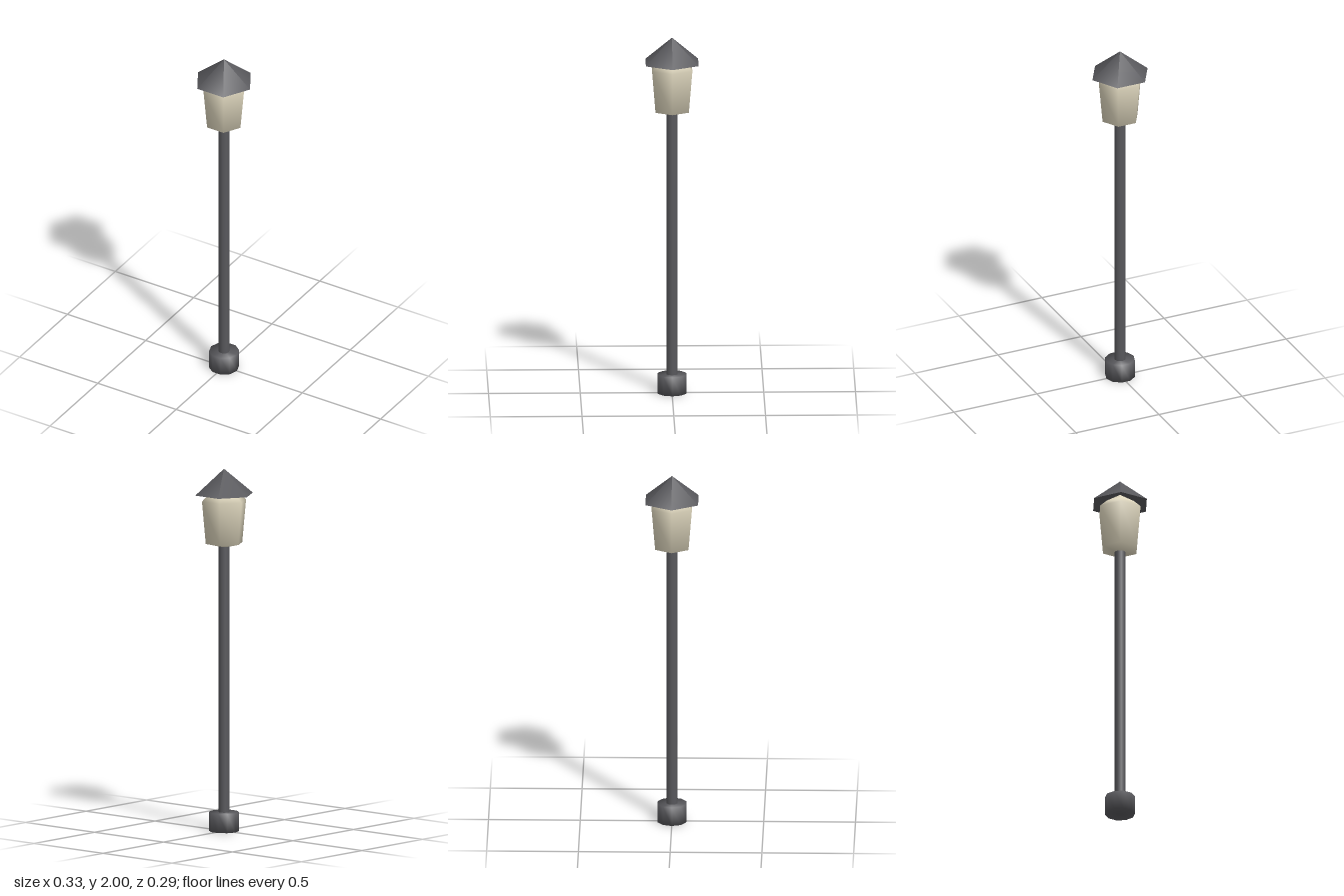
import * as THREE from 'three';

const darkMetal = new THREE.MeshStandardMaterial({ color: 0x59595d });
const roofMetal = darkMetal.clone();
roofMetal.side = THREE.DoubleSide;
const creamGlass = new THREE.MeshStandardMaterial({ color: 0xe0d8bf });

// Low-poly turned part: profile of [radius, height] from bottom to top,
// with a corner lying on the x axis and smooth normals.
function turned(name, profile, sides, material) {
  const points = profile.map(([r, y]) => new THREE.Vector2(r, y));
  const geometry = new THREE.LatheGeometry(points, sides, Math.PI / 2);
  const mesh = new THREE.Mesh(geometry, material);
  mesh.name = name;
  return mesh;
}

export function createModel() {
  const group = new THREE.Group();
  group.name = 'lampPost';

  // Foot and slim post
  group.add(turned('base', [[0, 0], [0.082, 0], [0.082, 0.105], [0, 0.105]], 10, darkMetal));
  group.add(turned('pole', [[0, 0.1], [0.031, 0.1], [0.031, 1.575], [0, 1.575]], 10, darkMetal));

  // Six-sided lantern, widening upward, with a sloped shoulder under the roof
  group.add(turned('lantern', [
    [0, 1.565], [0.105, 1.59], [0.127, 1.825], [0.085, 1.865], [0, 1.92],
  ], 6, creamGlass));

  // Thin six-sided pointed roof, open underneath
  group.add(turned('roof', [[0.166, 1.86], [0, 2]], 6, roofMetal));

  return group;
}
